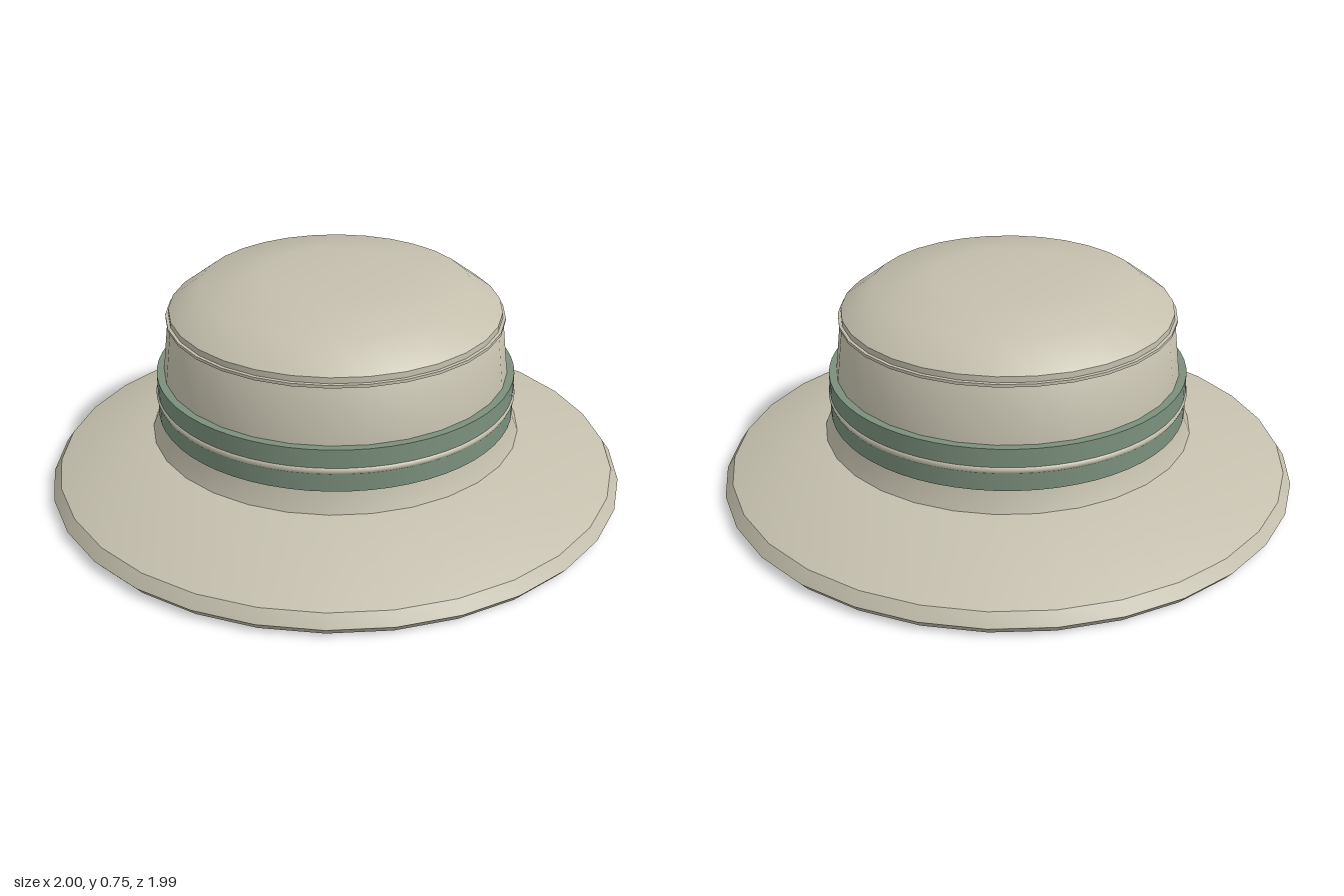
import * as THREE from 'three';
import { toCreasedNormals } from 'three/addons/utils/BufferGeometryUtils.js';

// Revolve a profile of [radius, y] points, listed bottom to top along the outside
function turned(name, material, profile, sides) {
  const points = profile.map(([r, y]) => new THREE.Vector2(r, y));
  const lathe = new THREE.LatheGeometry(points, sides, Math.PI / 2);
  const mesh = new THREE.Mesh(toCreasedNormals(lathe, 0.53), material);
  mesh.name = name;
  return mesh;
}

export function createModel() {
  const felt = new THREE.MeshStandardMaterial({ color: 0xc4bfad });
  felt.name = 'cream felt';
  const ribbon = new THREE.MeshStandardMaterial({ color: 0x7b907c });
  ribbon.name = 'sage ribbon';

  const hat = new THREE.Group();
  hat.name = 'hat';

  // Wide sloping brim with a bevelled edge and a closed underside
  hat.add(turned('brim', felt, [
    [0, 0], [0.975, 0], [1, 0.03], [0.972, 0.072], [0.64, 0.2], [0.58, 0.2],
  ], 30));

  // Tapered crown wall
  hat.add(turned('crownWall', felt, [
    [0.64, 0.2], [0.612, 0.27], [0.592, 0.42], [0.57, 0.61], [0.56, 0.625],
  ], 30));

  // Thin seam ridge under the top
  hat.add(turned('crownSeam', felt, [
    [0.55, 0.608], [0.577, 0.611], [0.577, 0.621], [0.55, 0.624],
  ], 30));

  // Softly domed top
  hat.add(turned('crownTop', felt, [
    [0.567, 0.618], [0.566, 0.642], [0.462, 0.72], [0.25, 0.75], [0, 0.755],
  ], 30));

  // Ribbon band with square edges
  hat.add(turned('ribbonBand', ribbon, [
    [0.585, 0.272], [0.617, 0.272], [0.617, 0.42], [0.585, 0.42],
  ], 60));

  // Cord running round the middle of the ribbon
  const cord = new THREE.Mesh(new THREE.TorusGeometry(0.607, 0.015, 10, 60), felt);
  cord.name = 'ribbonCord';
  cord.rotation.x = Math.PI / 2;
  cord.position.y = 0.345;
  hat.add(cord);

  return hat;
}
